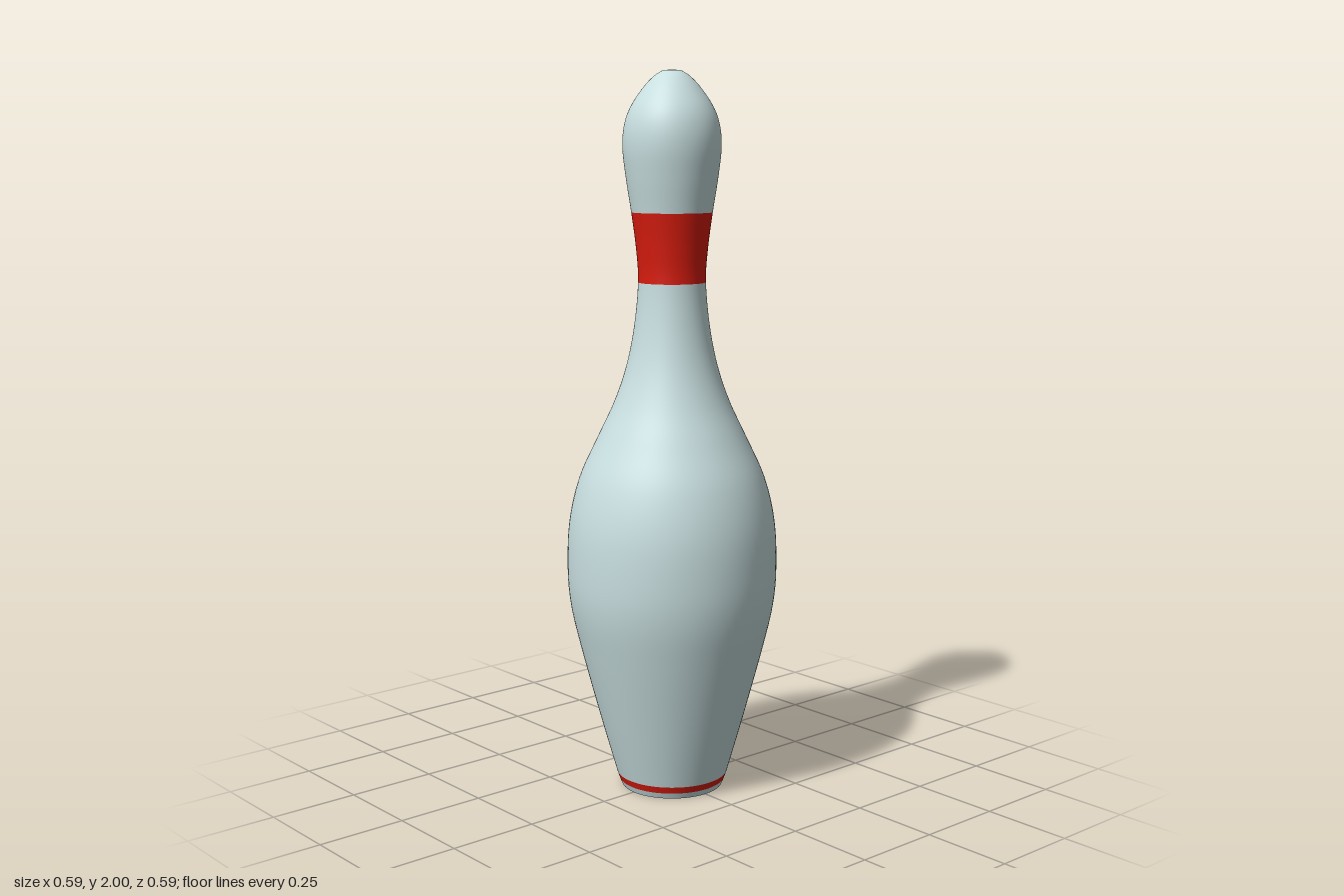
import * as THREE from 'three';

export function createModel() {
  const pin = new THREE.Group();
  pin.name = 'bowlingPin';
  const white = new THREE.MeshStandardMaterial({ color: 0xc8dedf });
  const red = new THREE.MeshStandardMaterial({ color: 0xd81c0e });

  // Silhouette as [radius, height], from the base stripe to the crown
  const profile = [
    [0.157, 0.037], [0.203, 0.2], [0.256, 0.4], [0.285, 0.53], [0.293, 0.64], [0.286, 0.77],
    [0.257, 0.89], [0.207, 1.0], [0.16, 1.1], [0.126, 1.2], [0.104, 1.31],
    [0.093, 1.43], [0.098, 1.52], [0.111, 1.62],
    [0.125, 1.71], [0.134, 1.79], [0.13, 1.85], [0.113, 1.9], [0.08, 1.95], [0.05, 1.982], [0.025, 1.998],
  ].map(([r, y]) => new THREE.Vector2(r, y));
  const curve = new THREE.SplineCurve(profile);
  const last = profile.length - 1;

  // Points on the silhouette between two profile indices
  const section = (from, to) => {
    const count = (to - from) * 6;
    return Array.from({ length: count + 1 }, (_, i) =>
      curve.getPoint((from + ((to - from) * i) / count) / last));
  };
  const turn = (name, points, material) => {
    const mesh = new THREE.Mesh(new THREE.LatheGeometry(points, 96), material);
    mesh.name = name;
    pin.add(mesh);
  };
  const v = (r, y) => new THREE.Vector2(r, y);

  // Base: flat underside, small rim and thin stripe
  turn('underside', [v(0, 0), v(0.143, 0)], white);
  turn('baseRim', [v(0.143, 0), v(0.15, 0.017)], white);
  turn('baseStripe', [v(0.15, 0.017), v(0.157, 0.037)], red);

  // Belly, neck stripe and head
  turn('belly', section(0, 11), white);
  turn('neckStripe', section(11, 13), red);
  turn('head', section(13, last), white);
  turn('crown', [v(0.025, 1.998), v(0, 2)], white);

  return pin;
}
